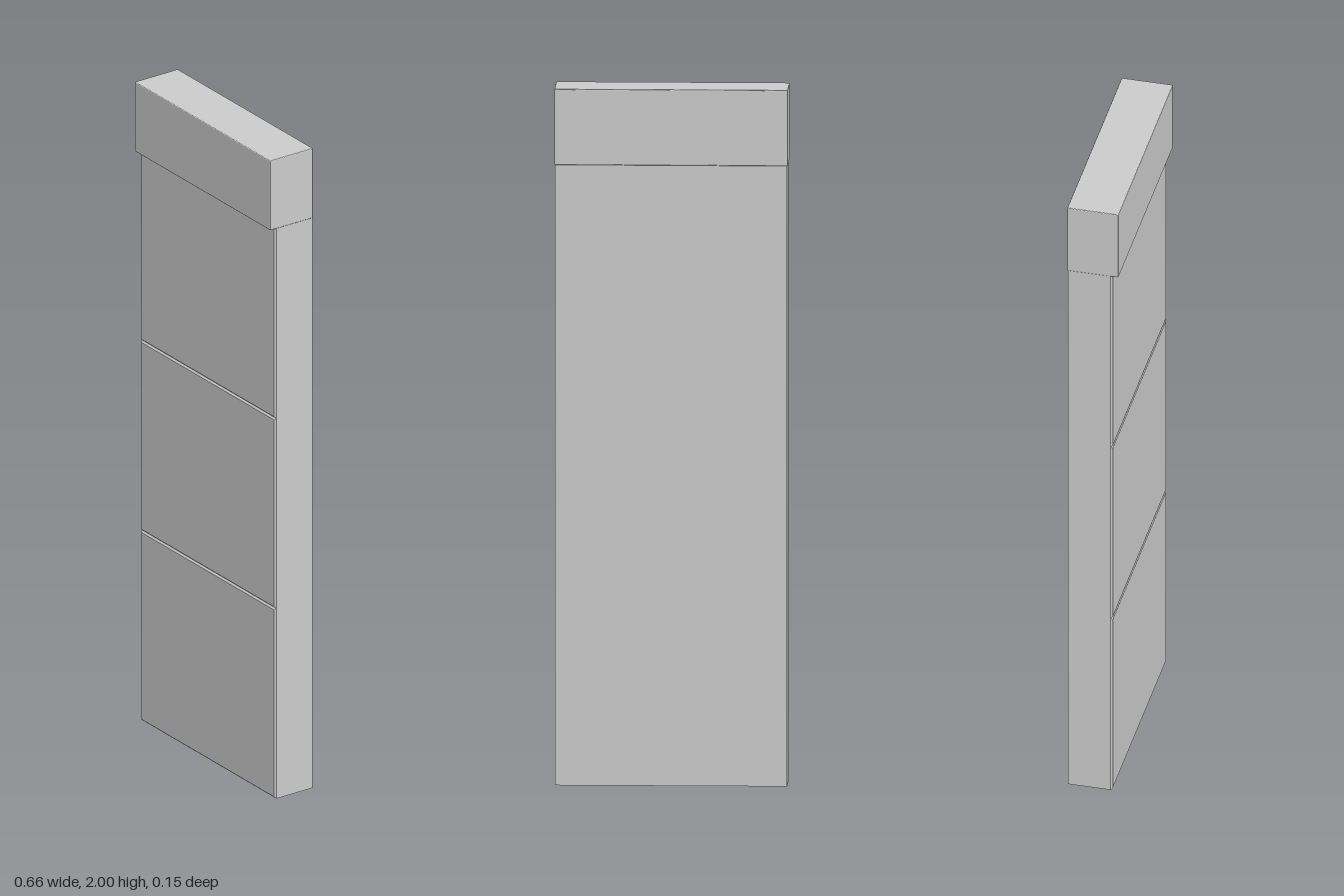
import * as THREE from 'three';
import { RoundedBoxGeometry } from 'three/addons/geometries/RoundedBoxGeometry.js';

const material = new THREE.MeshStandardMaterial({ color: 0xcccccc, flatShading: true });

function addPart(group, name, geometry, x, y, z) {
  const mesh = new THREE.Mesh(geometry, material);
  mesh.name = name;
  mesh.position.set(x, y, z);
  group.add(mesh);
  return mesh;
}

// Box whose front face is inset all round, giving chamfered front edges
function chamferedPanel(width, height, depth, inset) {
  const geometry = new THREE.BoxGeometry(width, height, depth);
  const p = geometry.attributes.position;
  for (let i = 0; i < p.count; i++) {
    if (p.getZ(i) > 0) {
      p.setX(i, p.getX(i) - Math.sign(p.getX(i)) * inset);
      p.setY(i, p.getY(i) - Math.sign(p.getY(i)) * inset);
    }
  }
  geometry.computeVertexNormals();
  return geometry;
}

export function createModel() {
  const group = new THREE.Group();
  const width = 0.66, bodyHeight = 1.782;
  const back = -0.073, front = 0.057, chamfer = 0.005;
  const panelHeight = bodyHeight / 3;

  // Solid slab behind the front panels
  const slabDepth = front - chamfer - back;
  addPart(group, 'slab', new THREE.BoxGeometry(width, bodyHeight, slabDepth),
    0, bodyHeight / 2, back + slabDepth / 2);

  // Three front panels; their chamfers meet in V grooves
  for (let i = 0; i < 3; i++) {
    addPart(group, `frontPanel${i + 1}`, chamferedPanel(width, panelHeight, chamfer, chamfer),
      0, panelHeight * (i + 0.5), front - chamfer / 2);
  }

  // Deeper cap block with slightly softened edges
  const capHeight = 2 - bodyHeight;
  addPart(group, 'cap', new RoundedBoxGeometry(0.664, capHeight, 0.15, 2, 0.003),
    0, bodyHeight + capHeight / 2, 0);

  return group;
}
